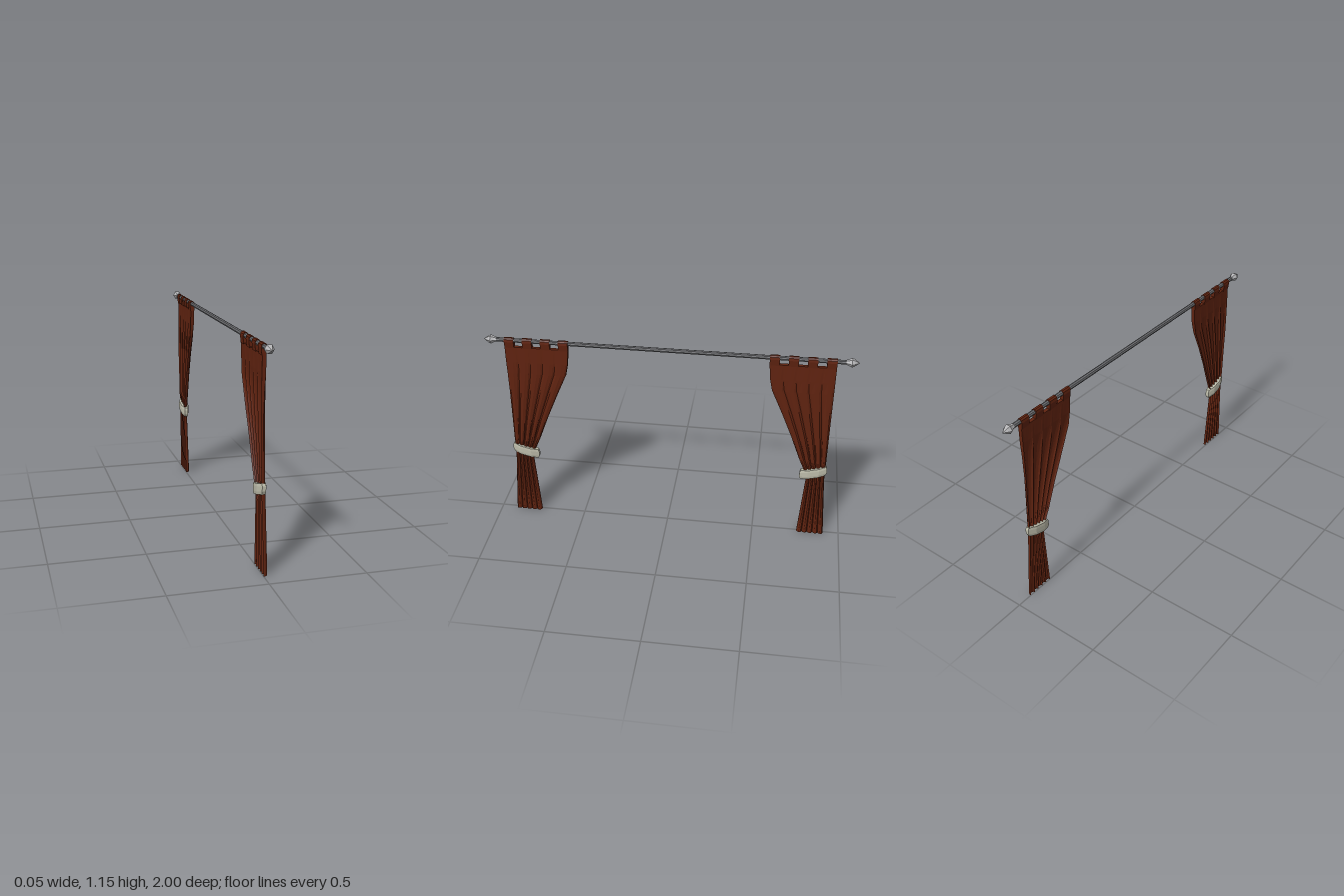
import * as THREE from 'three';

const mat = (name, color) => {
  const m = new THREE.MeshStandardMaterial({ color, flatShading: true });
  m.name = name;
  return m;
};

const ROD_X = -0.004, ROD_Y = 1.126;

// Curtain rows: y, outer z, inner z, centre x, pleat depth, half thickness
const ROWS = [
  [1.09, 0.886, 0.538, -0.003, 0, 0.010],
  [1.00, 0.886, 0.546, -0.003, 0.001, 0.010],
  [0.93, 0.886, 0.560, -0.003, 0.004, 0.008],
  [0.80, 0.886, 0.617, -0.003, 0.006, 0.006],
  [0.65, 0.886, 0.680, -0.001, 0.006, 0.005],
  [0.50, 0.886, 0.737, 0.001, 0.006, 0.005],
  [0.42, 0.884, 0.772, 0.003, 0.006, 0.005],
  [0.36, 0.886, 0.783, 0.005, 0.006, 0.005],
  [0.00, 0.911, 0.758, 0.011, 0.006, 0.005],
];
// One pleat: broad ridge followed by a sharp valley (position, offset)
const PLEAT = [[0, -1], [0.2, 0.7], [0.55, 1], [0.85, 0.3]];
const FOLDS = 5;

function curtainGeometry(side) {
  const cols = [];
  for (let f = 0; f < FOLDS; f++) for (const [t, o] of PLEAT) cols.push([(f + t) / FOLDS, o]);
  cols.push([1, -1]);
  const n = cols.length, ring = 2 * n, pos = [], idx = [];
  for (const [y, zo, zi, xc, amp, h] of ROWS) {
    const put = ([t, o], s) => pos.push(xc + o * amp + s * h, y, side * (zo + (zi - zo) * t));
    cols.forEach((c) => put(c, 1));
    [...cols].reverse().forEach((c) => put(c, -1));
  }
  const quad = (a, b, c, d) =>
    side > 0 ? idx.push(a, b, c, a, c, d) : idx.push(a, c, b, a, d, c);
  for (let r = 0; r < ROWS.length - 1; r++)
    for (let i = 0; i < ring; i++) {
      const a = r * ring + i, b = r * ring + (i + 1) % ring;
      quad(a, a + ring, b + ring, b);
    }
  // Top and bottom hems
  const last = (ROWS.length - 1) * ring;
  for (let i = 0; i < n - 1; i++) {
    const j = ring - 1 - i;
    quad(i, i + 1, j - 1, j);
    quad(last + i, last + j, last + j - 1, last + i + 1);
  }
  const g = new THREE.BufferGeometry();
  g.setAttribute('position', new THREE.Float32BufferAttribute(pos, 3));
  g.setIndex(idx);
  const flat = g.toNonIndexed();
  flat.computeVertexNormals();
  return flat;
}

// Fabric loop over the rod, extruded along z
function tabGeometry() {
  const s = new THREE.Shape([
    [-0.011, -0.042], [0.011, -0.042], [0.015, -0.006], [0.013, 0.008], [0.006, 0.015],
    [-0.006, 0.015], [-0.013, 0.008], [-0.015, -0.006],
  ].map(([x, y]) => new THREE.Vector2(x, y)));
  return new THREE.ExtrudeGeometry(s, { depth: 0.052, bevelEnabled: false }).translate(0, 0, -0.026);
}

// Chunky slanted band gathering the curtain
function tieGeometry(side) {
  const k = 1 / Math.cos(Math.PI / 8);
  const profile = [[0, -0.028], [0.9, -0.028], [1, -0.012], [1, 0.014], [0.92, 0.028], [0, 0.028]]
    .map(([r, y]) => new THREE.Vector2(r * k, y));
  const g = new THREE.LatheGeometry(profile, 8).rotateY(Math.PI / 8).scale(0.024, 1, 0.075);
  const p = g.attributes.position;
  for (let i = 0; i < p.count; i++) p.setY(i, p.getY(i) + side * p.getZ(i) * 0.26);
  g.computeVertexNormals();
  return g;
}

export function createModel() {
  const model = new THREE.Group();
  model.name = 'curtains';
  const fabric = mat('russet fabric', 0x602310);
  const band = mat('pale band', 0xbdbcaa);
  const steel = mat('rod steel', 0x6c6d70);
  const silver = mat('finial silver', 0xb4b4b6);

  const add = (parent, name, geometry, material, x = 0, y = 0, z = 0) => {
    const m = new THREE.Mesh(geometry, material);
    m.name = name;
    m.position.set(x, y, z);
    parent.add(m);
    return m;
  };

  add(model, 'rod', new THREE.CylinderGeometry(0.012, 0.012, 1.9, 8).rotateX(Math.PI / 2),
    steel, ROD_X, ROD_Y, 0);

  // Six-sided pointed finial
  const finial = new THREE.LatheGeometry(
    [[0, 0], [0.013, 0], [0.016, 0.012], [0.025, 0.03], [0.02, 0.042], [0, 0.07]]
      .map(([r, y]) => new THREE.Vector2(r, y)), 6).rotateY(Math.PI / 2).rotateX(Math.PI / 2);
  const tab = tabGeometry();

  for (const side of [1, -1]) {
    const half = new THREE.Group();
    half.name = side > 0 ? 'frontCurtain' : 'backCurtain';
    model.add(half);
    const f = add(half, 'finial', finial, silver, ROD_X, ROD_Y, side * 0.93);
    if (side < 0) f.rotation.y = Math.PI;
    add(half, 'curtainPanel', curtainGeometry(side), fabric);
    for (let i = 0; i < 4; i++)
      add(half, 'tabLoop', tab, fabric, ROD_X, ROD_Y, side * (0.86 - i * 0.0987));
    add(half, 'tieBand', tieGeometry(side), band, 0.002, 0.421, side * 0.82);
  }
  return model;
}
